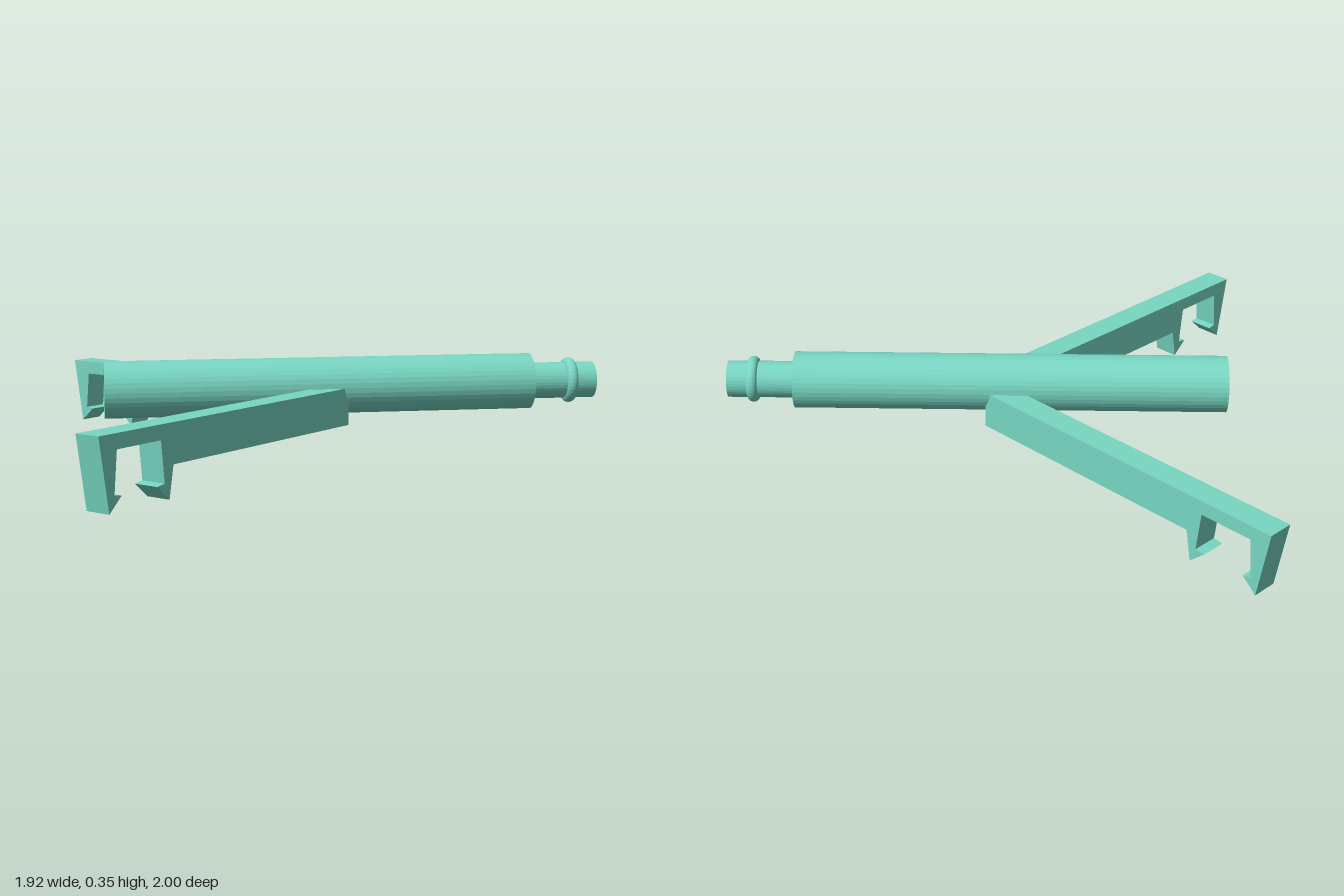
import * as THREE from 'three';

const AXIS_Y = 0.246; // height of the tube axis
const WIDTH = 0.067;  // arm width, measured along x
const EDGE = 0.103;   // outer arm edge runs along x + z = EDGE
const HUB_Z = 0.088;  // where the arms meet the hub

export function createModel() {
  const group = new THREE.Group();
  const material = new THREE.MeshStandardMaterial({ color: 0x78d6c2, flatShading: true });
  const add = (name, geometry) => {
    const mesh = new THREE.Mesh(geometry, material);
    mesh.name = name;
    group.add(mesh);
  };
  const toShape = (points) => new THREE.Shape(points.map(([x, y]) => new THREE.Vector2(x, y)));

  // Hollow tube, stepped nozzle and rounded bead turned as one closed profile: [radius, x]
  const profile = [[0.067, -0.86], [0.103, -0.86], [0.103, 0.715], [0.067, 0.715]];
  for (let i = 0; i <= 10; i++) {
    const a = (i / 10) * Math.PI;
    profile.push([0.067 + 0.017 * Math.sin(a), 0.868 - 0.02 * Math.cos(a)]);
  }
  profile.push([0.067, 0.96], [0.036, 0.96], [0.036, 0.68], [0.067, 0.68], [0.067, -0.86]);
  const tube = new THREE.LatheGeometry(profile.map(([r, x]) => new THREE.Vector2(r, x)), 36);
  tube.rotateZ(-Math.PI / 2).translate(0, AXIS_Y, 0);
  add('tube', tube);

  // Arm side profile with two facing snap hooks: [x along the outer edge, y]
  const armShape = toShape([
    [0.015, 0.245], [-0.895, 0.245],
    [-0.867, 0], [-0.828, 0.05], [-0.85, 0.055], [-0.84, 0.195], // end hook
    [-0.7, 0.195], [-0.69, 0.055], [-0.715, 0.05], [-0.675, 0], [-0.66, 0.11], // inner hook
    [0.015, 0.11],
  ]);

  // Swing the extruded profile to 45 degrees and trim its inner end flush with the hub
  function armGeometry(side) {
    const geometry = new THREE.ExtrudeGeometry(armShape, { depth: WIDTH, bevelEnabled: false });
    const p = geometry.attributes.position;
    for (let i = 0; i < p.count; i++) {
      const d = side > 0 ? WIDTH - p.getZ(i) : p.getZ(i);
      const x = p.getX(i) > 0 ? EDGE - HUB_Z - d : p.getX(i);
      p.setXYZ(i, x - d, p.getY(i), side * (EDGE - x - d));
    }
    geometry.computeVertexNormals();
    return geometry;
  }
  add('leftArm', armGeometry(1));
  add('rightArm', armGeometry(-1));

  // Flat plate in plan view, raised from y0 to y1
  function plate(points, y0, y1) {
    const geometry = new THREE.ExtrudeGeometry(toShape(points), { depth: y1 - y0, bevelEnabled: false });
    return geometry.rotateX(-Math.PI / 2).translate(0, y0, 0);
  }

  // V-shaped hub under the tube
  const front = EDGE - HUB_Z;
  const back = EDGE - 2 * WIDTH;
  add('hub', plate([
    [front, HUB_Z], [back - HUB_Z, HUB_Z], [back, 0], [back - HUB_Z, -HUB_Z], [front, -HUB_Z],
  ], 0.11, 0.17));

  // Cheeks joining the arms to the tube wall
  const inner = 0.0705;
  for (const side of [1, -1]) {
    add(side > 0 ? 'leftCheek' : 'rightCheek', plate([
      [front, -side * HUB_Z], [front, -side * inner],
      [back - inner, -side * inner], [back - HUB_Z, -side * HUB_Z],
    ], 0.17, 0.245));
  }

  return group;
}
